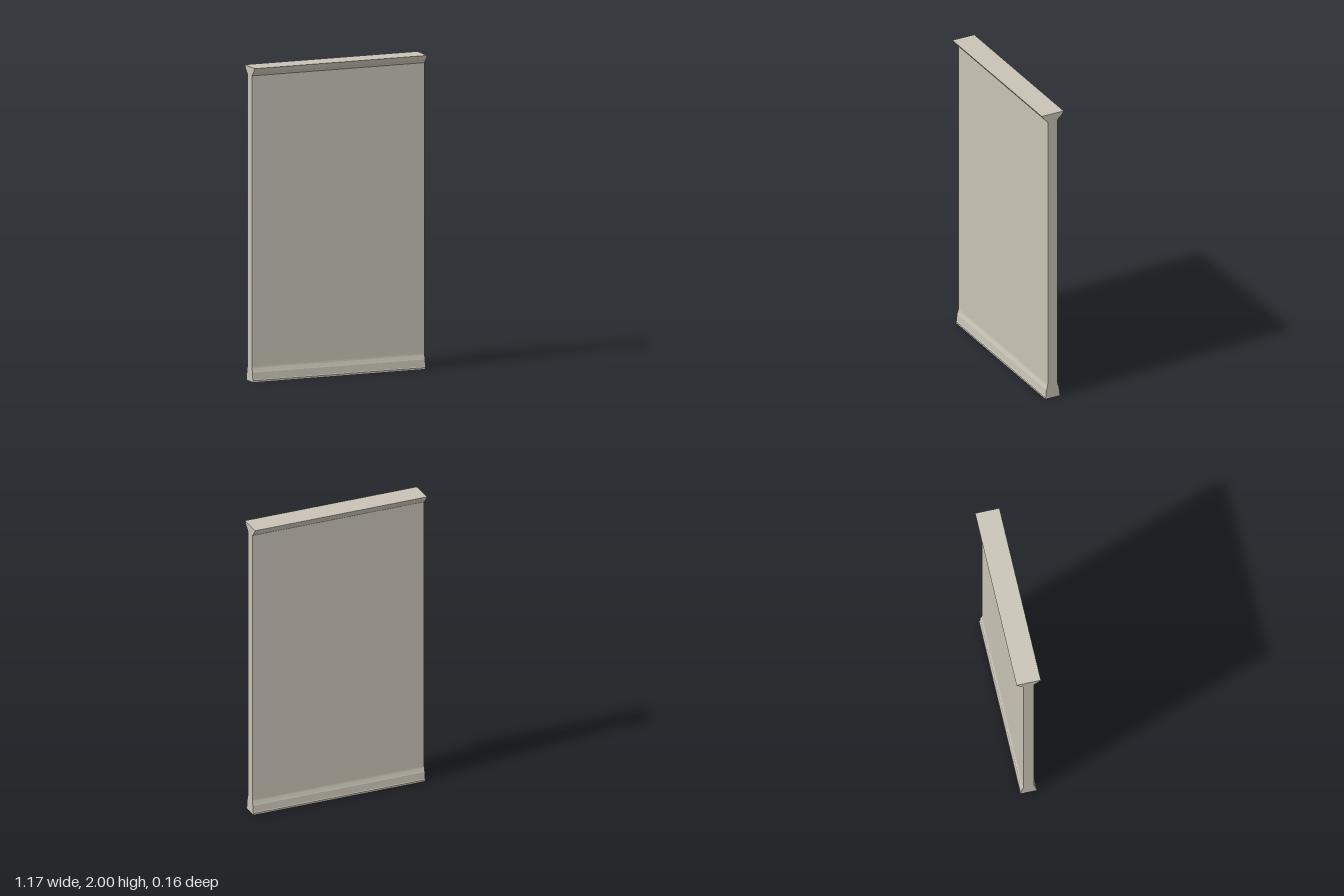
import * as THREE from 'three';

const LENGTH = 1.175;

// Sweeps a symmetric half profile of [halfDepth, height] points along x.
function moulding(name, half, material) {
  const right = half.map(([z, y]) => new THREE.Vector2(z, y));
  const left = half.map(([z, y]) => new THREE.Vector2(-z, y)).reverse();
  const geometry = new THREE.ExtrudeGeometry(new THREE.Shape([...right, ...left]), {
    depth: LENGTH,
    bevelEnabled: false,
  });
  geometry.translate(0, 0, -LENGTH / 2);
  geometry.rotateY(Math.PI / 2);
  const mesh = new THREE.Mesh(geometry, material);
  mesh.name = name;
  return mesh;
}

export function createModel() {
  const plaster = new THREE.MeshStandardMaterial({ color: 0xc8c3b5 });
  plaster.name = 'warm grey plaster';

  const group = new THREE.Group();
  group.name = 'wallPanel';

  // Skirting: small foot, upright board, eased shoulder up to the wall
  group.add(moulding('skirting', [
    [0.053, 0], [0.053, 0.012], [0.049, 0.017], [0.045, 0.062],
    [0.042, 0.07], [0.039, 0.08], [0.036, 0.09], [0.035, 0.1],
  ], plaster));

  // Plain slab
  group.add(moulding('wall', [[0.035, 0.1], [0.035, 1.947]], plaster));

  // Cornice: fillet, sloping cove and thin top lip
  group.add(moulding('cornice', [
    [0.035, 1.947], [0.039, 1.951], [0.043, 1.957], [0.052, 1.964],
    [0.058, 1.97], [0.065, 1.978], [0.071, 1.987], [0.076, 1.994], [0.078, 2],
  ], plaster));

  return group;
}
